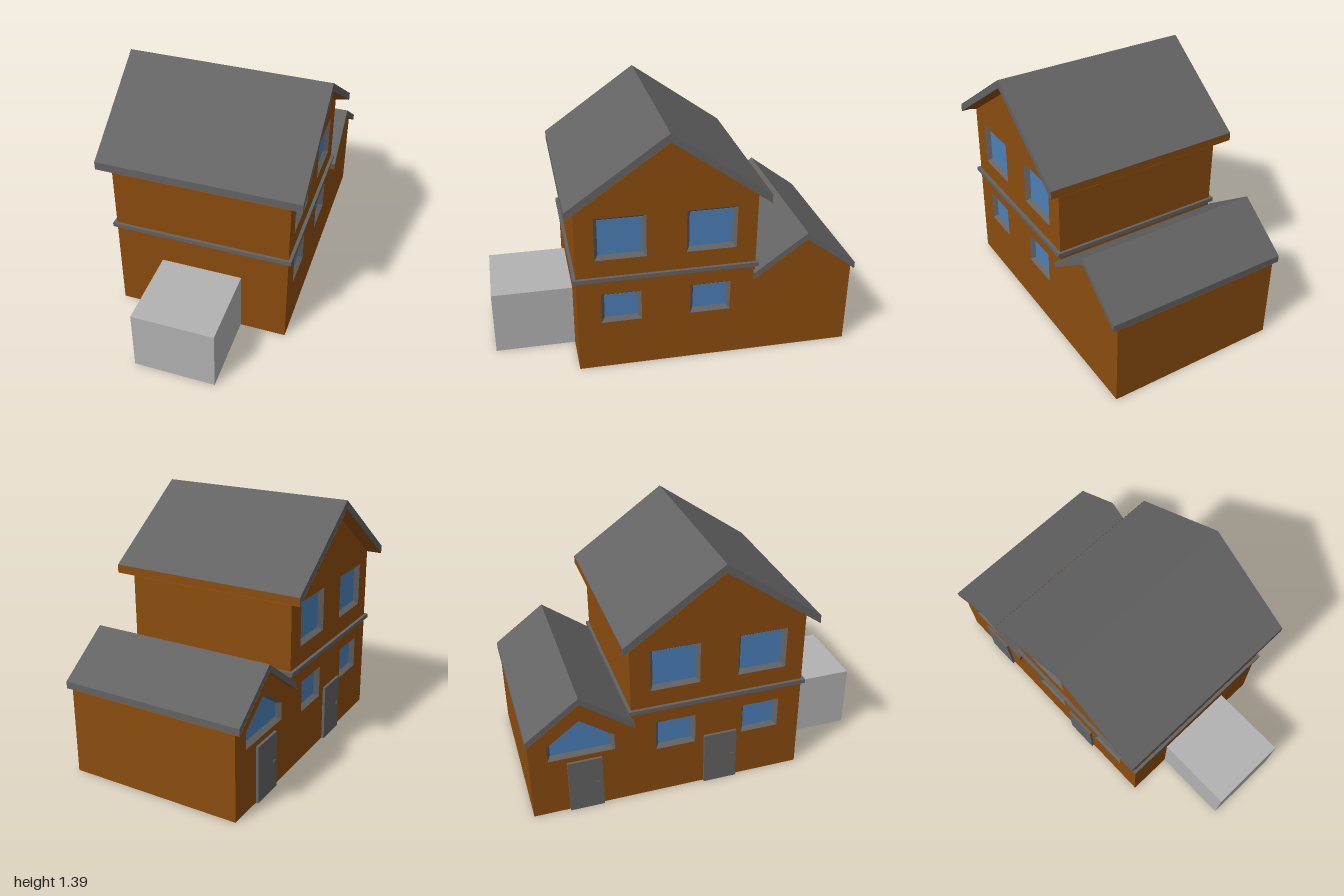
import * as THREE from 'three';

const mat = (name, color, side = THREE.FrontSide) => {
  const m = new THREE.MeshStandardMaterial({ color, side });
  m.name = name;
  return m;
};

const WALL = 0.49, DEPTH = 0.03; // half width of the house, depth of window recesses

export function createModel() {
  const group = new THREE.Group();
  const brown = mat('brown wall', 0x8a4c0e, THREE.DoubleSide);
  const grey = mat('dark grey trim', 0x636363, THREE.DoubleSide);
  const blue = mat('blue glass', 0x4c80b9, THREE.DoubleSide);
  const pale = mat('pale grey block', 0xb2b2b2);

  const add = (name, geometry, material) => {
    const mesh = new THREE.Mesh(geometry, material);
    mesh.name = name;
    group.add(mesh);
    return mesh;
  };
  const box = (name, x0, x1, y0, y1, z0, z1, material) =>
    add(name, new THREE.BoxGeometry(x1 - x0, y1 - y0, z1 - z0), material)
      .position.set((x0 + x1) / 2, (y0 + y1) / 2, (z0 + z1) / 2);

  // Side profiles are lists of [z, y], extruded from x0 to x1
  const outline = pts => pts.map(([z, y]) => new THREE.Vector2(-z, y));
  const extrude = (pts, x0, x1, holes = []) => {
    const shape = new THREE.Shape(outline(pts));
    holes.forEach(h => shape.holes.push(new THREE.Path(outline(h))));
    return new THREE.ExtrudeGeometry(shape, { depth: x1 - x0, bevelEnabled: false })
      .rotateY(Math.PI / 2).translate(x0, 0, 0);
  };
  // Flat-shaded strip of quads between two rows of points
  const strip = (rowA, rowB) => {
    const pos = [];
    for (let i = 0; i < rowA.length - 1; i++) {
      const [a, b, c, d] = [rowA[i], rowA[i + 1], rowB[i + 1], rowB[i]];
      pos.push(...a, ...b, ...c, ...a, ...c, ...d);
    }
    const g = new THREE.BufferGeometry();
    g.setAttribute('position', new THREE.Float32BufferAttribute(pos, 3));
    g.computeVertexNormals();
    return g;
  };

  // Window openings
  const rect = (z0, z1, y0, y1) => [[z0, y0], [z1, y0], [z1, y1], [z0, y1]];
  const windows = [
    rect(0.17, 0.447, 0.68, 0.925), rect(-0.32, -0.045, 0.68, 0.925),
    rect(0.20, 0.42, 0.29, 0.47), rect(-0.295, -0.07, 0.29, 0.47),
  ];
  const gableWindow = [[-0.89, 0.35], [-0.525, 0.35], [-0.525, 0.445], [-0.707, 0.58], [-0.89, 0.445]];

  // Walls: solid core with a pierced panel on each side
  const profile = [[0.55, 0], [0.55, 0.99], [0.06, 1.335], [-0.43, 0.99], [-0.43, 0.495],
    [-0.71, 0.7], [-0.99, 0.495], [-0.99, 0]];
  add('wallCore', extrude(profile, -WALL + DEPTH, WALL - DEPTH), brown);
  for (const side of [1, -1]) {
    const holes = side > 0 ? windows : [...windows, gableWindow];
    const x0 = side > 0 ? WALL - DEPTH : -WALL;
    add('sideWall', extrude(profile, x0, x0 + DEPTH, holes), brown);

    // Splayed frames and glass
    for (const hole of holes) {
      const zs = hole.map(p => p[0]), ys = hole.map(p => p[1]);
      const [zMin, zMax, yMin, yMax] =
        [Math.min(...zs), Math.max(...zs), Math.min(...ys), Math.max(...ys)];
      const cz = (zMin + zMax) / 2, cy = (yMin + yMax) / 2;
      const kz = 1 - 0.04 / (zMax - zMin), ky = 1 - 0.04 / (yMax - yMin);
      const inner = hole.map(([z, y]) => [cz + (z - cz) * kz, cy + (y - cy) * ky]);
      const ring = (pts, x) => [...pts, pts[0]].map(([z, y]) => [side * x, y, z]);
      add('windowFrame', strip(ring(hole, WALL), ring(inner, WALL - DEPTH + 0.002)), grey);
      const gx = side * (WALL - DEPTH + 0.003);
      add('windowGlass', extrude(inner, gx - 0.001, gx + 0.001), blue);
    }
  }

  // Gable roof: grey chevron, brown soffit and one brown eave
  const roof = (name, half, zc, run, top, eave, thick, brownEnd) => {
    const zs = [zc + run, zc, zc - run], ys = [eave, top, eave];
    const upper = zs.map((z, i) => [z, ys[i]]);
    const lower = zs.map((z, i) => [z, ys[i] - thick]);
    add(name, extrude([...upper, ...lower.slice().reverse()], -half, half), grey);
    const row = (pts, x) => pts.map(([z, y]) => [x, y - 0.002, z]);
    add(name + 'Soffit', strip(row(lower, half), row(lower, -half)), brown);
    const ze = zc + brownEnd * (run + 0.001);
    add(name + 'Eave', strip([[-half, eave - thick, ze], [half, eave - thick, ze]],
      [[-half, eave, ze], [half, eave, ze]]), brown);
  };
  roof('mainRoof', 0.56, 0.06, 0.54, 1.39, 1.01, 0.045, -1);
  roof('rearRoof', 0.52, -0.71, 0.29, 0.737, 0.522, 0.037, 1);

  // Sloping boards under the main gable overhangs
  for (const s of [1, -1]) {
    const edge = (x, drop) => [[0.55, 1.0], [0.06, 1.345], [-0.43, 1.0]]
      .map(([z, y]) => [s * x, y - drop, z]);
    add('gableSoffit', strip(edge(0.558, 0.002), edge(WALL, 0.02)), brown);
  }

  // Belt course around the main house
  box('beltCourse', -0.508, 0.508, 0.557, 0.58, -0.445, 0.567, grey);

  // Two doors on the right side, each with a handle
  for (const z of [-0.02, -0.79]) {
    box('door', -0.505, -WALL, 0, 0.32, z, z + 0.19, grey);
    box('doorHandle', -0.51, -0.505, 0.153, 0.168, z + 0.155, z + 0.17, grey);
  }

  // Front block
  box('frontBlock', -0.23, 0.23, 0, 0.37, 0.55, 1.0, pale);
  return group;
}
